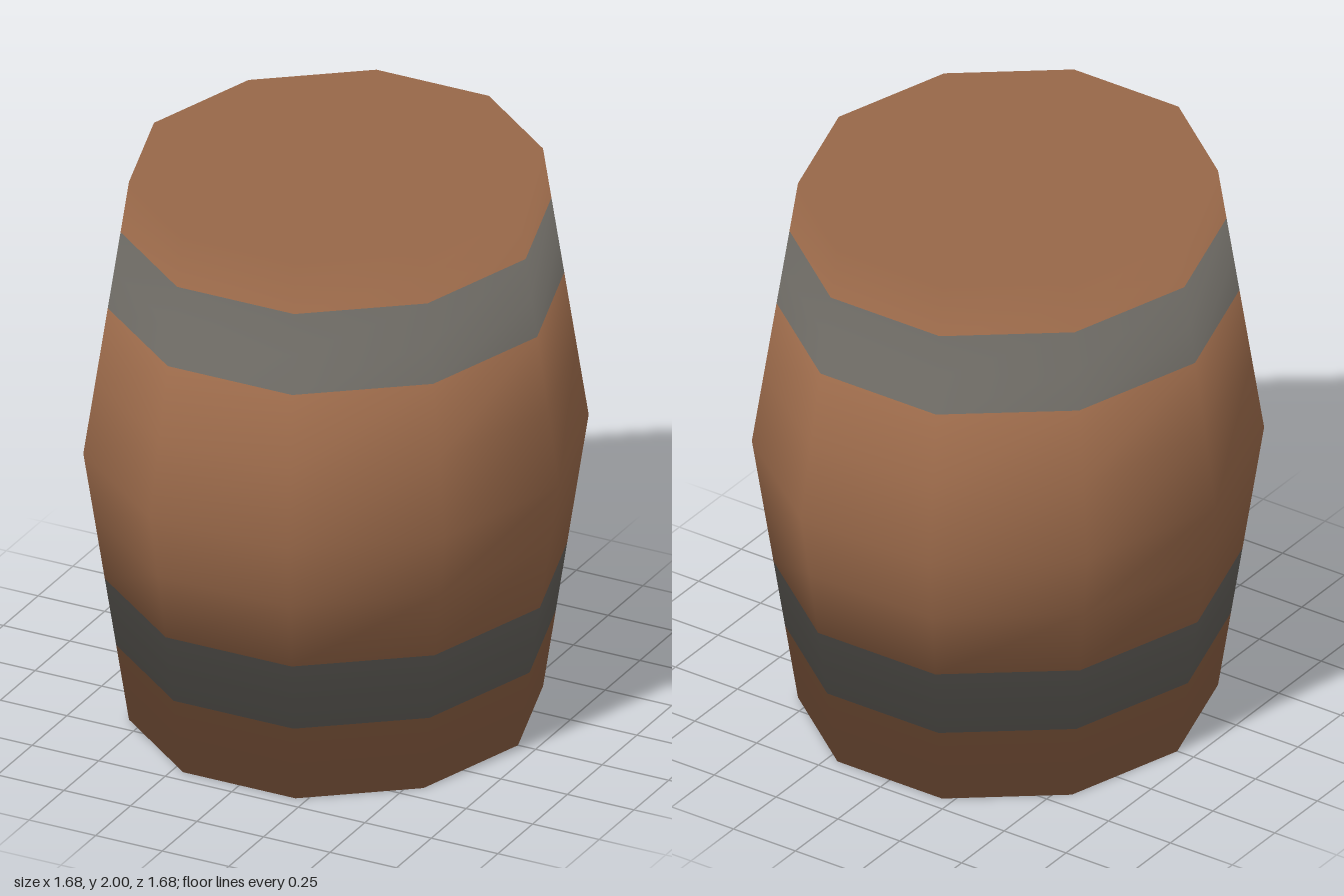
import * as THREE from 'three';

const SIDES = 10;
const MID = { rx: 0.838, rz: 0.884 };   // widest ring, y = 1
const RIM = { rx: 0.684, rz: 0.731 };   // end rings, y = 0 and y = 2

// Point and softly rounded normal on the barrel wall at a height and side
function wallPoint(y, i) {
  const a = (i / SIDES) * Math.PI * 2;
  const t = Math.abs(y - 1);
  const rx = THREE.MathUtils.lerp(MID.rx, RIM.rx, t);
  const rz = THREE.MathUtils.lerp(MID.rz, RIM.rz, t);
  const c = Math.cos(a), s = Math.sin(a);
  // normals turn from outward at the belly to vertical at the rims
  const n = new THREE.Vector3(c * (1 - t), y - 1, s * (1 - t)).normalize();
  return { p: [c * rx, y, s * rz], n: n.toArray() };
}

function makeGeometry(pos, nor, index) {
  const g = new THREE.BufferGeometry();
  g.setAttribute('position', new THREE.Float32BufferAttribute(pos, 3));
  g.setAttribute('normal', new THREE.Float32BufferAttribute(nor, 3));
  g.setIndex(index);
  return g;
}

// Wall strip passing through a list of heights
function strip(heights) {
  const pos = [], nor = [], index = [];
  const row = SIDES + 1;
  heights.forEach((y, r) => {
    for (let i = 0; i <= SIDES; i++) {
      const v = wallPoint(y, i);
      pos.push(...v.p);
      nor.push(...v.n);
      if (r > 0 && i < SIDES) {
        const a = (r - 1) * row + i, b = a + row;
        index.push(a, b, a + 1, a + 1, b, b + 1);
      }
    }
  });
  return makeGeometry(pos, nor, index);
}

// Flat end of the barrel
function cap(y) {
  const up = y > 1 ? 1 : -1;
  const pos = [0, y, 0], nor = [0, up, 0], index = [];
  for (let i = 0; i <= SIDES; i++) {
    pos.push(...wallPoint(y, i).p);
    nor.push(0, up, 0);
    if (i < SIDES) index.push(0, ...(up > 0 ? [i + 2, i + 1] : [i + 1, i + 2]));
  }
  return makeGeometry(pos, nor, index);
}

export function createModel() {
  const wood = new THREE.MeshStandardMaterial({ color: 0x976748 });
  wood.name = 'wood';
  const iron = new THREE.MeshStandardMaterial({ color: 0x696660 });
  iron.name = 'iron';

  const barrel = new THREE.Group();
  barrel.name = 'barrel';
  const add = (name, geometry, material) => {
    const mesh = new THREE.Mesh(geometry, material);
    mesh.name = name;
    barrel.add(mesh);
  };

  // Staves and flush hoops, from the bottom up
  add('bottomStaves', strip([0, 0.14, 0.28]), wood);
  add('lowerHoop', strip([0.28, 0.4, 0.53]), iron);
  add('bellyStaves', strip([0.53, 0.77, 1, 1.27, 1.535]), wood);
  add('upperHoop', strip([1.535, 1.67, 1.815]), iron);
  add('topStaves', strip([1.815, 1.91, 2]), wood);

  // Flat ends
  add('lid', cap(2), wood);
  add('base', cap(0), wood);
  return barrel;
}
